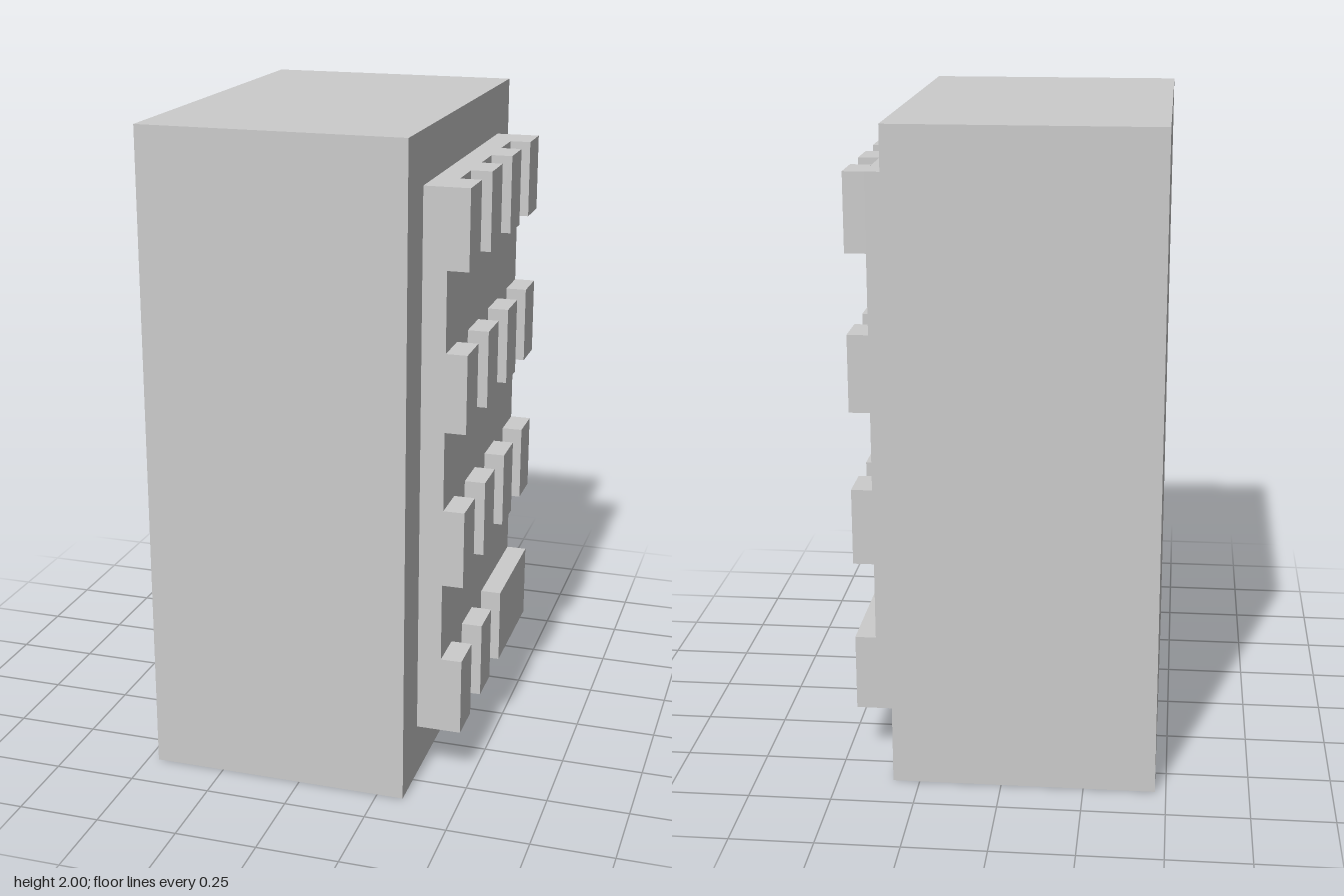
import * as THREE from 'three';

const material = new THREE.MeshStandardMaterial({ color: 0xcccccc });

// Box given by its lower and upper corners
function box(name, [x0, y0, z0], [x1, y1, z1]) {
  const mesh = new THREE.Mesh(new THREE.BoxGeometry(x1 - x0, y1 - y0, z1 - z0), material);
  mesh.name = name;
  mesh.position.set((x0 + x1) / 2, (y0 + y1) / 2, (z0 + z1) / 2);
  return mesh;
}

export function createModel() {
  const model = new THREE.Group();
  model.name = 'keypadBlock';

  // Main block and the raised panel on its left side
  model.add(box('body', [-0.467, 0, -0.617], [0.331, 2, 0.617]));
  model.add(box('panel', [0.331, 0.163, -0.46], [0.403, 1.843, 0.46]));

  // Four rows of keys; the bottom row ends in one wide key
  const keys = new THREE.Group();
  keys.name = 'keys';
  const keyHeight = 0.238, keyWidth = 0.131, pitchY = 0.4807, pitchZ = 0.263;
  for (let row = 0; row < 4; row++) {
    const y = 0.163 + row * pitchY;
    const columns = row === 0 ? 3 : 4;
    for (let col = 0; col < columns; col++) {
      const wide = row === 0 && col === 2;
      const front = 0.46 - col * pitchZ;
      const back = wide ? -0.46 : front - keyWidth;
      keys.add(box(wide ? 'wideKey' : 'key', [0.403, y, back], [0.467, y + keyHeight, front]));
    }
  }
  model.add(keys);
  return model;
}
